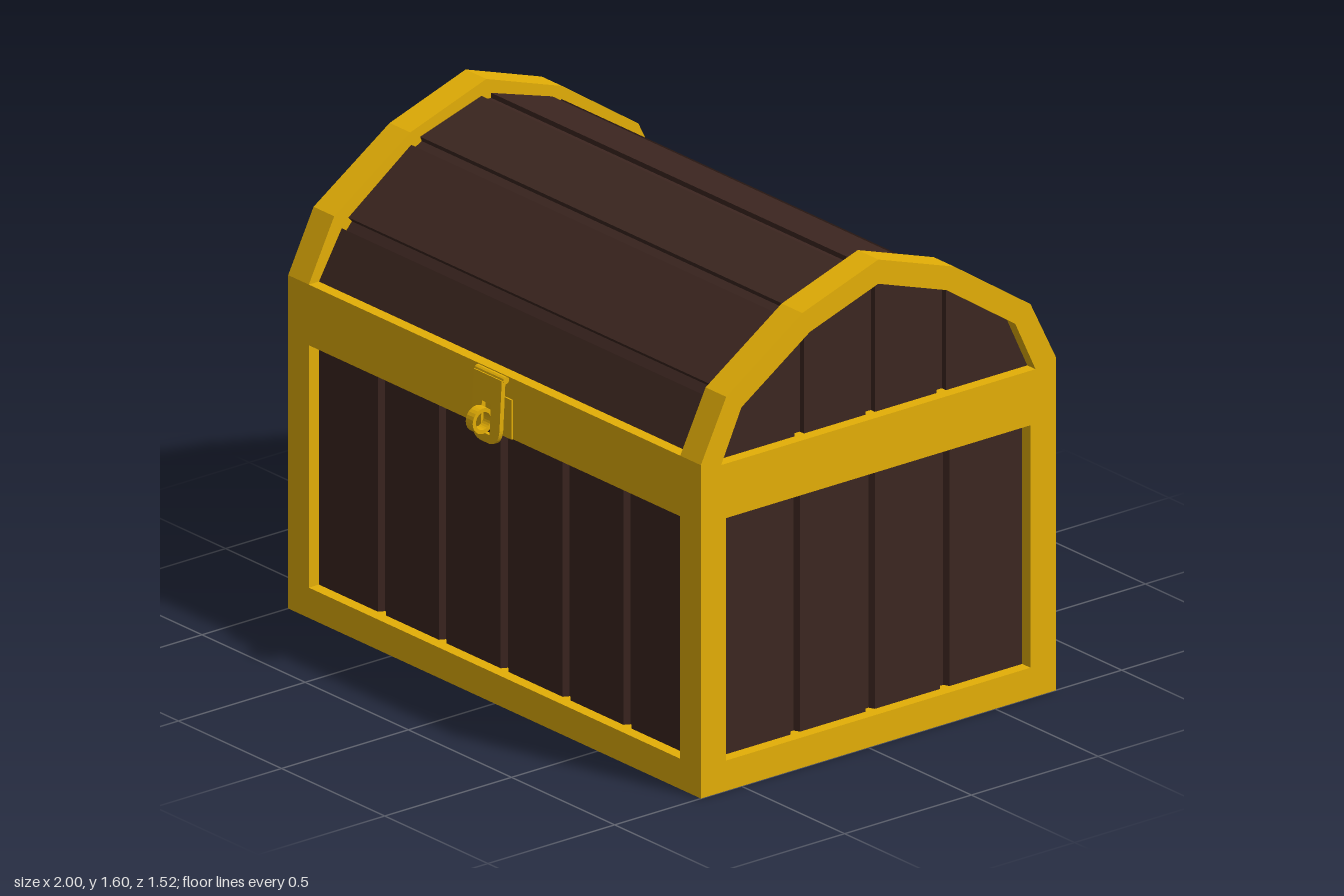
import * as THREE from 'three';

const gold = new THREE.MeshStandardMaterial({ color: 0xe4af06, flatShading: true });
const wood = new THREE.MeshStandardMaterial({ color: 0x3c2620, flatShading: true });

const toPoints = (list) => list.map(([x, y]) => new THREE.Vector2(x, y));
const extrude = (shape, depth) => new THREE.ExtrudeGeometry(shape, { depth, bevelEnabled: false, curveSegments: 12 });

// Extrudes a (z, y) outline along x, centred on x
function alongX(shape, width, x = 0) {
  return extrude(shape, width).translate(0, 0, -width / 2).rotateY(Math.PI / 2).translate(x, 0, 0);
}

// Mirrors the right half of an outline (bottom to top) into a full arch
const mirrored = (half) => [...half, ...half.filter(([a]) => a > 0).reverse().map(([a, y]) => [-a, y])];

// Straight edge from a to b, with grooves cut to its left at the given distances from its middle
function groovedEdge(a, b, offsets, width = 0.038, depth = 0.02) {
  const length = Math.hypot(b[0] - a[0], b[1] - a[1]);
  const d = [(b[0] - a[0]) / length, (b[1] - a[1]) / length];
  const at = (t, inward) => [a[0] + d[0] * t - d[1] * inward, a[1] + d[1] * t + d[0] * inward];
  const pts = [a];
  for (const o of offsets) {
    const t = length / 2 + o;
    pts.push(at(t - width / 2, 0), at(t - width / 4, depth), at(t + width / 4, depth), at(t + width / 2, 0));
  }
  return pts;
}

export function createModel() {
  const model = new THREE.Group();
  model.name = 'chest';
  const chest = new THREE.Group();
  chest.name = 'chestBody';
  chest.position.z = -0.04;
  model.add(chest);
  const add = (name, geometry, material, parent = chest) => {
    const mesh = new THREE.Mesh(geometry, material);
    mesh.name = name;
    parent.add(mesh);
  };
  const box = (w, h, d, x, y, z) => new THREE.BoxGeometry(w, h, d).translate(x, y, z);

  // Planked body: a grooved rectangle in plan, raised upwards
  const X = 0.96, Z = 0.66;
  const longGrooves = [-0.595, -0.3, 0, 0.3, 0.595], shortGrooves = [-0.295, 0, 0.295];
  const plan = [
    ...groovedEdge([-X, -Z], [X, -Z], longGrooves),
    ...groovedEdge([X, -Z], [X, Z], shortGrooves),
    ...groovedEdge([X, Z], [-X, Z], longGrooves),
    ...groovedEdge([-X, Z], [-X, -Z], shortGrooves),
  ];
  add('bodyPlanks', extrude(new THREE.Shape(toPoints(plan)), 1.035).rotateX(-Math.PI / 2).translate(0, 0.045, 0), wood);

  // Bottom panel, level with the frame
  add('bottomPanel', box(1.8, 0.06, 1.2, 0, 0.032, 0), wood);

  // Lid: faceted arch with a groove at every bend
  const lidHalf = [[0.66, 1.07], [0.66, 1.1], [0.56, 1.27], [0.28, 1.47], [0, 1.555]];
  const lid = mirrored(lidHalf);
  const lidPoints = [];
  lid.forEach((p, i) => {
    if (i < 2 || i > lid.length - 3) return lidPoints.push(p);
    const toward = (q, t) => {
      const l = Math.hypot(q[0] - p[0], q[1] - p[1]);
      return [p[0] + (q[0] - p[0]) * t / l, p[1] + (q[1] - p[1]) * t / l];
    };
    const sink = ([a, y]) => [a * 0.975, y - 0.016];
    const before = toward(lid[i - 1], 0.02), after = toward(lid[i + 1], 0.02);
    lidPoints.push(before, sink(before), sink(after), after);
  });
  add('lidPlanks', alongX(new THREE.Shape(toPoints(lidPoints)), 1.88), wood);

  // Upright planks closing both lid ends
  const g = 0.019;
  const endPlanks = [
    [[0.28 + g, 1.07], [0.63, 1.07], [0.63, 1.12], [0.55, 1.27], [0.28 + g, 1.45]],
    [[g, 1.07], [0.28 - g, 1.07], [0.28 - g, 1.46], [g, 1.54]],
  ];
  for (const side of [-1, 1]) {
    for (const plank of endPlanks) {
      for (const m of [-1, 1]) {
        const outline = new THREE.Shape(toPoints(plank.map(([a, y]) => [a * m, y])));
        add('lidEndPlank', alongX(outline, 0.04, side * 0.94), wood);
      }
    }
  }

  // End frames: lower window and arched upper window
  const frame = new THREE.Shape(toPoints(mirrored([[0.7, 0], [0.7, 1.1], [0.6, 1.3], [0.3, 1.5], [0, 1.6]])));
  frame.holes.push(
    new THREE.Path(toPoints([[-0.6, 0.1], [-0.6, 0.9], [0.6, 0.9], [0.6, 0.1]])),
    new THREE.Path(toPoints(mirrored([[0.62, 1.08], [0.54, 1.25], [0.27, 1.43], [0, 1.52]]))),
  );
  for (const side of [-1, 1]) add('endFrame', alongX(frame, 0.1, side * 0.95), gold);

  // Front and back rails
  for (const side of [-1, 1]) {
    add('upperRail', box(1.8, 0.2, 0.05, 0, 1, side * 0.675), gold);
    add('lowerRail', box(1.8, 0.1, 0.1, 0, 0.05, side * 0.65), gold);
  }

  // Back hinges
  for (const side of [-1, 1]) {
    const hinge = new THREE.CylinderGeometry(0.018, 0.018, 0.6, 10).rotateZ(Math.PI / 2);
    add('hinge', hinge.translate(side * 0.6, 1, -0.702), gold);
  }

  // Hasp and ring
  const lock = new THREE.Group();
  lock.name = 'lock';
  lock.position.z = 0.7;
  chest.add(lock);
  add('backPlate', box(0.18, 0.13, 0.006, 0, 0.965, 0.003), gold, lock);
  add('haspPin', new THREE.CylinderGeometry(0.012, 0.012, 0.14, 10).rotateZ(Math.PI / 2).translate(0, 1.09, 0.011), gold, lock);
  const plate = new THREE.Shape();
  plate.moveTo(0.068, 1.09);
  plate.lineTo(-0.068, 1.09);
  plate.lineTo(-0.068, 0.925);
  plate.quadraticCurveTo(-0.064, 0.875, -0.02, 0.872);
  plate.lineTo(0.02, 0.872);
  plate.quadraticCurveTo(0.064, 0.875, 0.068, 0.925);
  plate.closePath();
  plate.holes.push(new THREE.Path(toPoints([[-0.022, 0.9], [-0.022, 1], [0.022, 1], [0.022, 0.9]])));
  // The hasp leans outwards towards its lower end
  const hasp = extrude(plate, 0.015).translate(0, -1.09, 0.012).rotateX(-0.055).translate(0, 1.09, 0);
  add('hasp', hasp, gold, lock);
  const ring = new THREE.Shape().absarc(0, 0, 0.042, 0, Math.PI * 2);
  ring.holes.push(new THREE.Path().absarc(0, 0, 0.029, 0, Math.PI * 2, true));
  add('lockRing', alongX(ring, 0.034).translate(0, 0.952, 0.058), gold, lock);
  add('ringStem', box(0.034, 0.03, 0.03, 0, 0.952, 0.013), gold, lock);

  return model;
}
